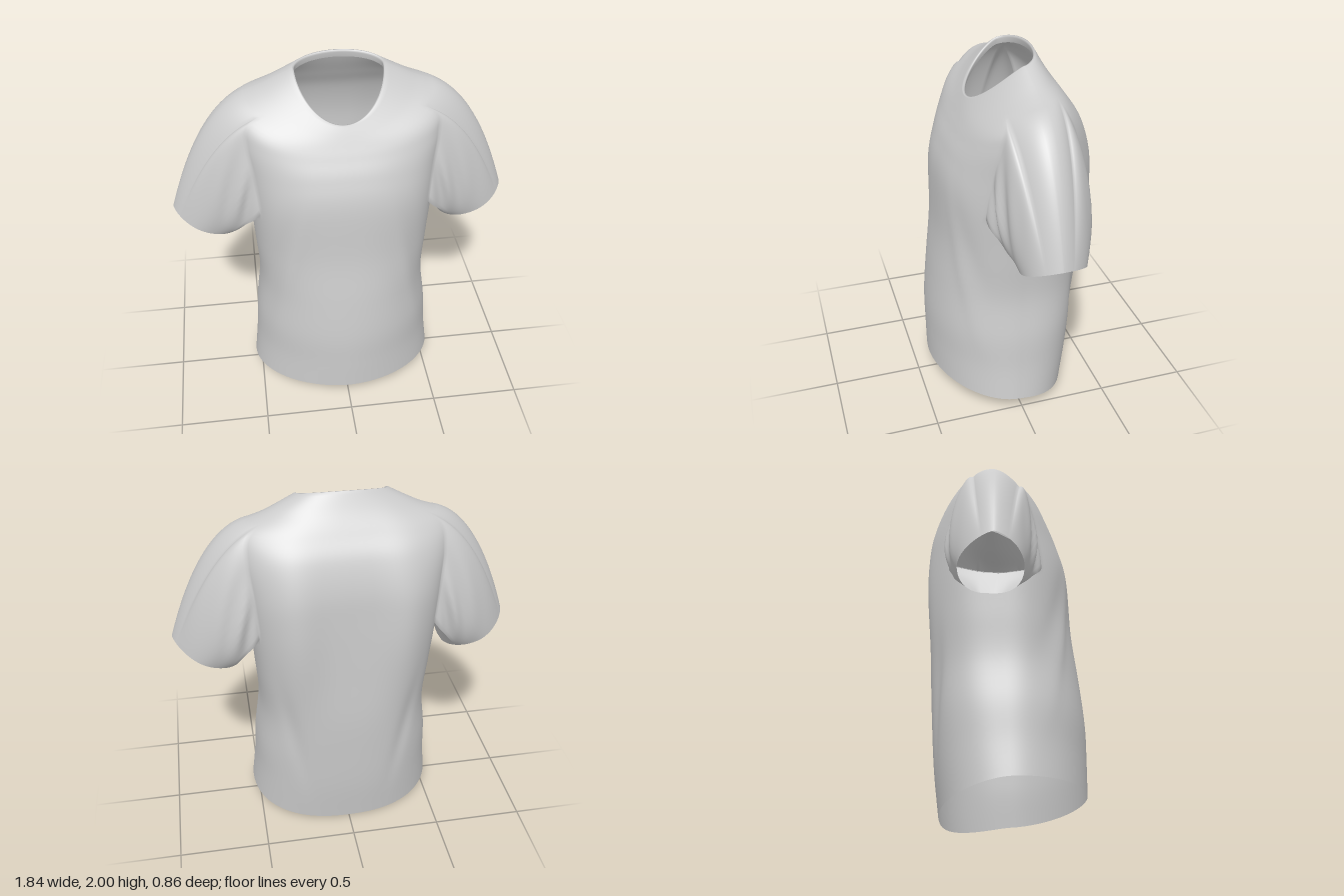
import * as THREE from 'three';

const COLS = 120, STEPS = 6;          // columns round the body, rows per key section
const ARM = { half: 10, low: 30, high: 51 }; // armhole patch in columns and rows
const SLEEVE_ROWS = 24;

// Key sections, hem to neckline:
// heights at front, side, back | half width, z front, z side | z back, roundness front, back
const KEYS = [
  [0.12, 0.09, 0.00, 0.535, 0.43, 0.03, -0.345, 1.07, 0.85],
  [0.30, 0.28, 0.24, 0.514, 0.432, 0.02, -0.375, 1.05, 0.82],
  [0.50, 0.48, 0.47, 0.501, 0.43, 0.01, -0.392, 1.0, 0.78],
  [0.75, 0.73, 0.74, 0.471, 0.405, 0.0, -0.405, 0.93, 0.72],
  [1.02, 0.98, 1.02, 0.484, 0.37, -0.01, -0.402, 0.86, 0.62],
  [1.34, 1.20, 1.35, 0.50, 0.352, -0.03, -0.395, 0.76, 0.53],
  [1.50, 1.45, 1.54, 0.52, 0.308, -0.05, -0.385, 0.72, 0.53],
  [1.60, 1.68, 1.70, 0.55, 0.26, -0.07, -0.345, 0.72, 0.62],
  [1.66, 1.815, 1.81, 0.54, 0.228, -0.08, -0.285, 0.77, 0.77],
  [1.715, 1.888, 1.91, 0.39, 0.198, -0.08, -0.225, 0.9, 0.93],
  [1.755, 1.965, 2.0, 0.238, 0.175, -0.07, -0.178, 1.0, 1.0],
];

const gauss = (d, width) => Math.exp(-((d / width) ** 2));
const spow = (v, e) => Math.sign(v) * Math.abs(v) ** e;
const lerp = THREE.MathUtils.lerp;

// Smooth interpolation of the nine section values, three at a time
const tracks = [0, 3, 6].map(k => new THREE.CatmullRomCurve3(
  KEYS.map(r => new THREE.Vector3(r[k], r[k + 1], r[k + 2])), false, 'catmullrom', 0.5));

function torsoPoint(t, angle) {
  const [yF, yS, yB, w, zF, zS, zB, eF, eB] = tracks.flatMap(c => c.getPoint(t).toArray());
  const c = Math.cos(angle), s = Math.sin(angle), front = s > 0;
  const e = front ? eF : eB, depth = Math.abs(s);
  const p = new THREE.Vector3(
    w * spow(c, e),
    lerp(yS, front ? yF : yB, depth ** (front ? 1.25 : 1.15)),
    zS + ((front ? zF : zB) - zS) * depth ** e);
  const ax = Math.abs(p.x);
  if (front) {
    // diagonal drape from the chest to the waist
    const line = 0.27 + (1.15 - p.y) * 0.24;
    p.z += depth * gauss(p.y - 0.75, 0.36) *
      (0.014 * gauss(ax - line, 0.035) - 0.018 * gauss(ax - line - 0.075, 0.045));
  } else {
    // shoulder blades and the folds hanging from them
    p.z -= 0.045 * depth * gauss(ax - 0.3, 0.14) * gauss(p.y - 1.28, 0.42);
    const line = 0.36 - (0.9 - p.y) * 0.18;
    p.z += 0.016 * depth * gauss(ax - line, 0.04) * gauss(p.y - 0.65, 0.3);
  }
  return p;
}

export function createModel() {
  const verts = [];
  const add = p => verts.push(p) - 1;
  const quad = (list, a, b, c, d) => list.push(a, b, c, b, d, c);

  // Torso grid
  const rows = (KEYS.length - 1) * STEPS;
  const grid = [];
  for (let i = 0; i <= rows; i++) {
    grid.push([]);
    for (let j = 0; j < COLS; j++) {
      grid[i].push(add(torsoPoint(i / rows, j / COLS * Math.PI * 2)));
    }
  }
  const at = (i, j) => grid[i][(j + COLS) % COLS];
  const inArmhole = (i, j) => i >= ARM.low && i < ARM.high && [0, COLS / 2, COLS].some(
    m => j >= m - ARM.half && j < m + ARM.half);
  const torso = [];
  for (let i = 0; i < rows; i++) for (let j = 0; j < COLS; j++) {
    if (!inArmhole(i, j)) quad(torso, at(i, j), at(i + 1, j), at(i, j + 1), at(i + 1, j + 1));
  }

  // Sleeve: grows from the armhole edge to a cuff that is flat below and arched above
  function sleeve(side) {
    const mid = side > 0 ? 0 : COLS / 2, h = ARM.half, loop = [], index = [];
    for (let j = h; j > -h; j--) loop.push(at(ARM.high, mid + j));
    for (let i = ARM.high; i > ARM.low; i--) loop.push(at(i, mid - h));
    for (let j = -h; j < h; j++) loop.push(at(ARM.low, mid + j));
    for (let i = ARM.low; i < ARM.high; i++) loop.push(at(i, mid + h));

    const box = new THREE.Box3().setFromPoints(loop.map(k => verts[k]));
    const centre = box.getCenter(new THREE.Vector3()), size = box.getSize(new THREE.Vector3());
    const paths = loop.map(k => {
      const start = verts[k];
      const a = Math.atan2((start.y - centre.y) / size.y, (start.z - centre.z) / size.z);
      const up = Math.sin(a), fwd = Math.cos(a), top = Math.max(0, up) ** 1.5;
      const end = new THREE.Vector3(
        side * (0.74 + 0.18 * up),
        1.115 + 0.073 * up - 0.025 * fwd * fwd,
        -0.07 + 0.02 * top + 0.168 * spow(fwd, up < 0 ? 0.8 : 1.4));
      const control = start.clone().lerp(end, 0.5);
      control.x += side * 0.03 * top;
      control.y += 0.29 * top;
      control.z += fwd * (fwd > 0 ? 0.04 : 0.08);
      return { curve: new THREE.QuadraticBezierCurve3(start, control, end), up, fwd };
    });

    let previous = loop;
    for (let r = 1; r <= SLEEVE_ROWS; r++) {
      const t = r / SLEEVE_ROWS;
      const ring = paths.map(({ curve, up, fwd }) => {
        const p = curve.getPoint(t);
        // creases fanning out of the underarm
        const fade = Math.sin(Math.PI * t) * (1 - t) * gauss(up + 0.2, 0.65);
        p.z += 0.024 * fwd * fade * Math.sin(9 * up + 8 * t);
        return add(p);
      });
      ring.forEach((k, j) => {
        const n = (j + 1) % ring.length;
        quad(index, previous[j], k, previous[n], ring[n]);
      });
      previous = ring;
    }
    return index;
  }
  const leftSleeve = sleeve(1), rightSleeve = sleeve(-1);

  // Neckband: the neckline edge rolled over to the inside
  const neckband = [];
  let edge = grid[rows];
  for (const [inset, drop] of [[0.008, 0.001], [0.011, 0.012], [0.004, 0.04]]) {
    const ring = grid[rows].map(k => {
      const p = verts[k].clone(), out = new THREE.Vector3(p.x, 0, p.z).normalize();
      p.addScaledVector(out, -inset);
      p.y -= drop;
      return add(p);
    });
    ring.forEach((k, j) => {
      const n = (j + 1) % COLS;
      quad(neckband, edge[j], k, edge[n], ring[n]);
    });
    edge = ring;
  }

  // Shared positions and normals keep the seams smooth between parts
  const whole = new THREE.BufferGeometry().setFromPoints(verts);
  whole.setIndex([...torso, ...leftSleeve, ...rightSleeve, ...neckband]);
  whole.computeVertexNormals();

  const cloth = new THREE.MeshStandardMaterial({ color: 0xcccccc, side: THREE.DoubleSide });
  const group = new THREE.Group();
  group.name = 'shirt';
  for (const [name, index] of Object.entries({ torso, leftSleeve, rightSleeve, neckband })) {
    const geometry = new THREE.BufferGeometry();
    geometry.setAttribute('position', whole.getAttribute('position'));
    geometry.setAttribute('normal', whole.getAttribute('normal'));
    geometry.setIndex(index);
    const mesh = new THREE.Mesh(geometry, cloth);
    mesh.name = name;
    group.add(mesh);
  }
  return group;
}
